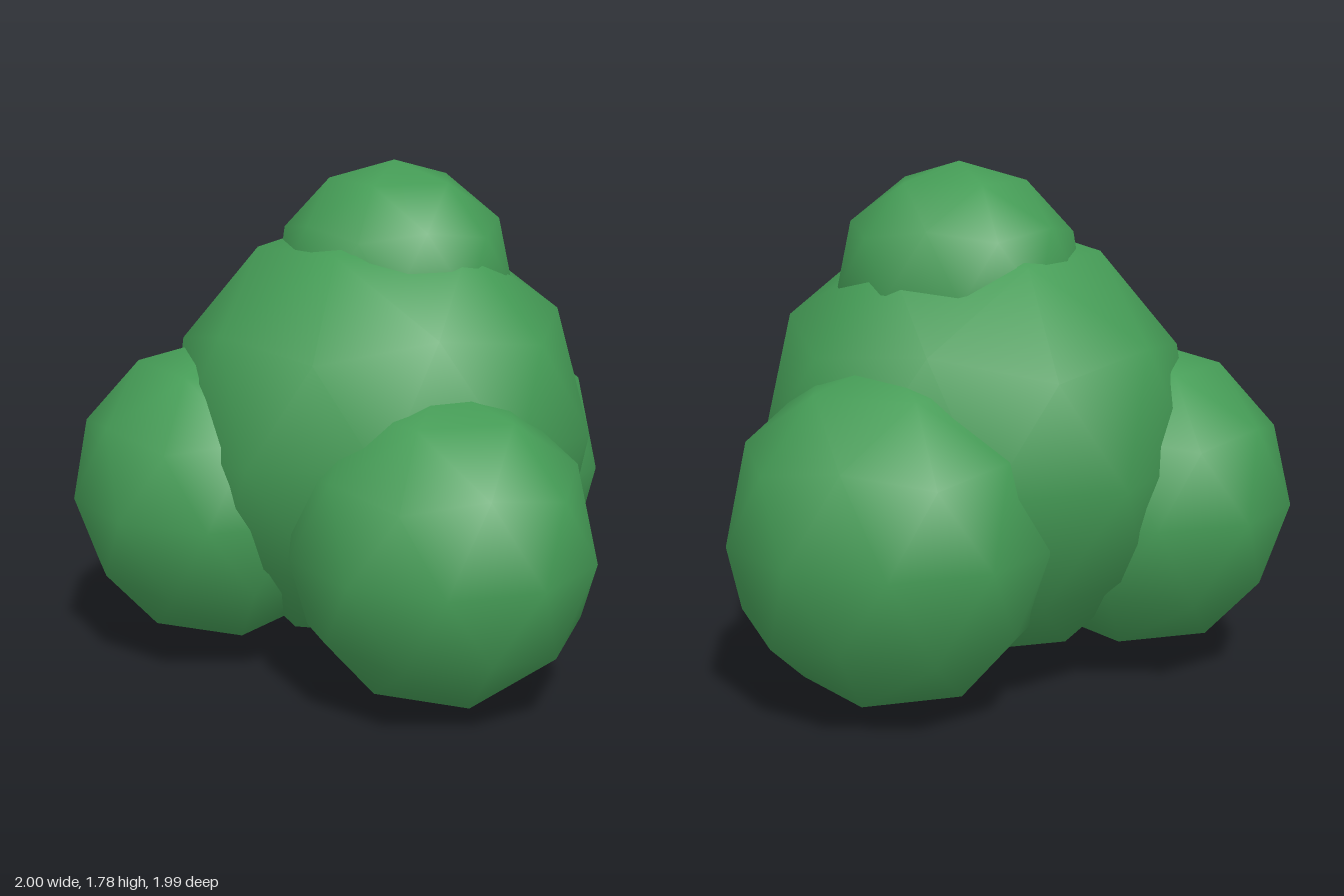
import * as THREE from 'three';

const leafGreen = new THREE.MeshStandardMaterial({ color: 0x459c56 });
leafGreen.name = 'leafGreen';

// Low-poly smooth ball with a vertex at each pole, stretched to the given radii
function ball(rx, ry, rz) {
  const geometry = new THREE.IcosahedronGeometry(1, 1);
  geometry.rotateZ(-Math.atan(2 / (1 + Math.sqrt(5))));
  geometry.scale(rx, ry, rz);
  return geometry;
}

export function createModel() {
  const bush = new THREE.Group();
  bush.name = 'bush';

  // name, radii, centre, tilt about x, turn about y
  const clumps = [
    ['mainFoliage', [0.76, 0.785, 0.785], [-0.01, 0.82, -0.135], -0.06, 0.03],
    ['topFoliage', [0.43, 0.43, 0.445], [0.06, 1.35, -0.135], 0, 0],
    ['frontFoliage', [0.52, 0.555, 0.56], [-0.15, 0.555, 0.435], 0, 0],
    ['backLeftFoliage', [0.54, 0.585, 0.57], [0.49, 0.588, -0.335], 0, 0],
    ['backRightFoliage', [0.522, 0.55, 0.56], [-0.503, 0.605, -0.435], 0, 0],
  ];

  for (const [name, radii, centre, tilt, turn] of clumps) {
    const clump = new THREE.Mesh(ball(...radii), leafGreen);
    clump.name = name;
    clump.position.set(...centre);
    clump.rotation.set(tilt, turn, 0);
    bush.add(clump);
  }
  return bush;
}
